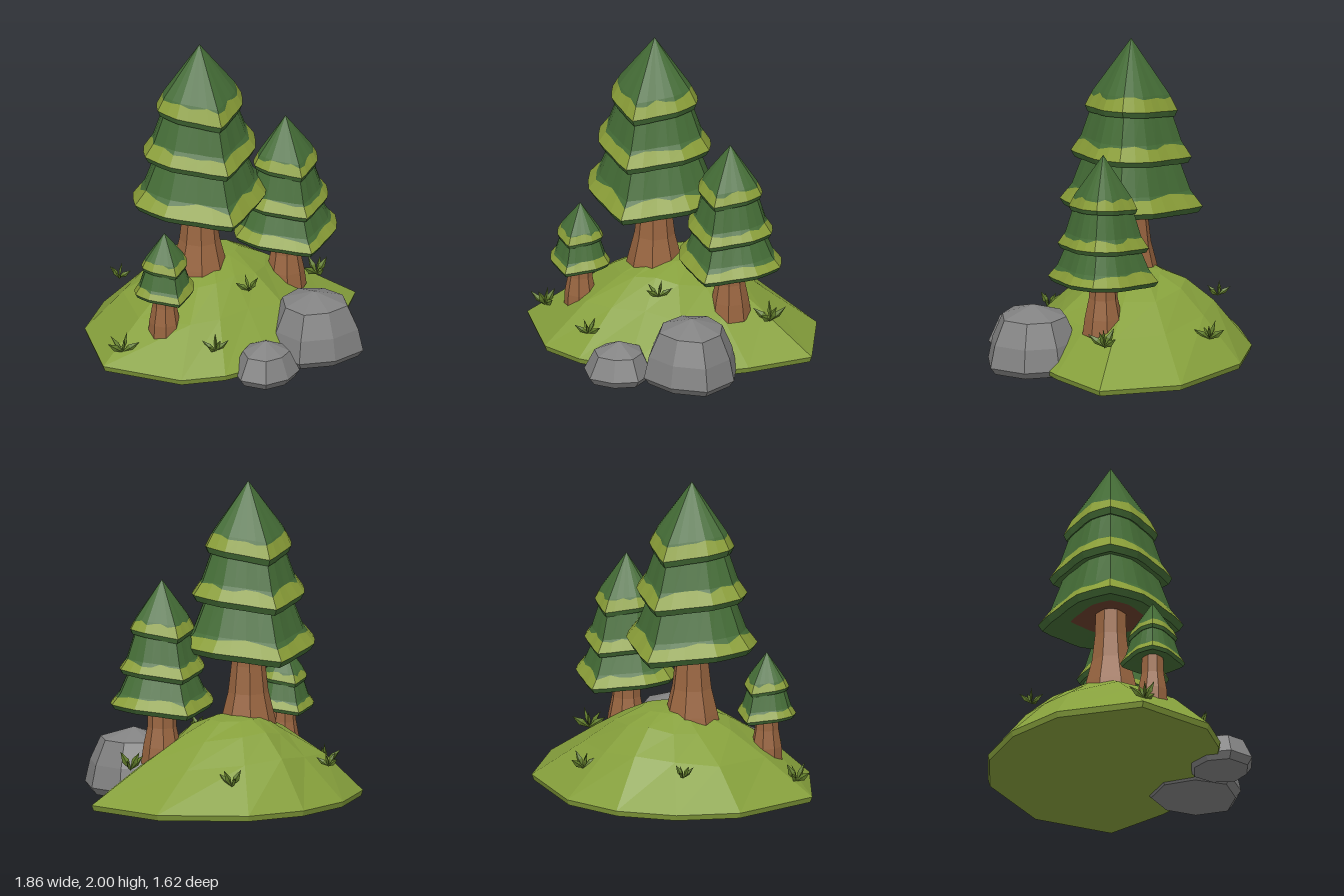
import * as THREE from 'three';

const mat = (name, color) => {
  const m = new THREE.MeshStandardMaterial({ color });
  m.name = name;
  return m;
};

// small seeded random
function seeded(seed) {
  let s = seed;
  return () => ((s = (s * 16807) % 2147483647) / 2147483647);
}

// flat-faced skin over rings listed bottom to top, each running from +z towards +x
function loft(rings) {
  const pos = [];
  const tri = (a, b, c) => {
    if (a.distanceTo(b) < 1e-5 || b.distanceTo(c) < 1e-5 || a.distanceTo(c) < 1e-5) return;
    for (const p of [a, b, c]) pos.push(p.x, p.y, p.z);
  };
  for (let i = 0; i + 1 < rings.length; i++) {
    const lo = rings[i], up = rings[i + 1], n = lo.length;
    for (let j = 0; j < n; j++) {
      const k = (j + 1) % n;
      tri(lo[j], lo[k], up[k]);
      tri(lo[j], up[k], up[j]);
    }
  }
  const g = new THREE.BufferGeometry();
  g.setAttribute('position', new THREE.Float32BufferAttribute(pos, 3));
  g.computeVertexNormals();
  return g;
}

const ring = (n, fn) => Array.from({ length: n }, (_, j) => fn(j, (j / n) * Math.PI * 2));
const polar = (a, r, y) => new THREE.Vector3(Math.sin(a) * r, y, Math.cos(a) * r);

export function createModel() {
  const model = new THREE.Group();
  const grass = mat('grass', 0x86a03c);
  const needles = mat('needles', 0x446c36);
  const tips = mat('needle tips', 0x8a9e38);
  const bark = mat('bark', 0x996540);
  const darkBark = mat('shaded bark', 0x6b3f2c);
  const stone = mat('stone', 0x828282);
  const blades = mat('grass blades', 0x637f2c);

  const add = (parent, name, geometry, material) => {
    const m = new THREE.Mesh(geometry, material);
    m.name = name;
    parent.add(m);
    return m;
  };

  // ---- hill: outline scaled towards the summit
  const outline = [
    [0, 0.6], [0.35, 0.53], [0.66, 0.26], [0.93, -0.06], [0.72, -0.53], [0.23, -0.81],
    [-0.15, -0.81], [-0.5, -0.66], [-0.78, -0.38], [-0.93, 0.15], [-0.6, 0.55], [-0.33, 0.62],
  ];
  const cx = -0.05, cz = -0.12;
  const rnd = seeded(11);
  const hillRing = (f, y, sideDrop, jitter) => outline.map(([x, z]) => {
    const dx = x - cx, dz = z - cz;
    const side = Math.abs(dx) / Math.hypot(dx, dz);
    const ff = f + (rnd() - 0.5) * jitter;
    return new THREE.Vector3(cx + dx * ff, y - sideDrop * side + (rnd() - 0.5) * jitter * 0.4, cz + dz * ff);
  });
  add(model, 'hill', loft([
    hillRing(0, 0.025, 0, 0), hillRing(0.985, 0.03, 0, 0), hillRing(1, 0.065, 0, 0),
    hillRing(0.66, 0.35, 0.06, 0.07), hillRing(0.4, 0.5, 0.06, 0.05),
    hillRing(0.2, 0.55, 0.01, 0.03), hillRing(0, 0.555, 0, 0),
  ]), grass);

  // ---- trees
  const N = 24;
  const reach = [1, 0.84, 0.91, 1, 0.91, 0.84];      // corner radius, repeats every half turn
  const droop = [0.06, 0.035, 0.015, 0, 0.015, 0.035]; // front and back corners hang lower
  const sample = (list, j) => {
    const k = Math.floor(j / 2);
    return j % 2 ? (list[k % 6] + list[(k + 1) % 6]) * 0.49 : list[k % 6];
  };

  function tier(tree, s, R, y, topR, topY, rand, browned) {
    const g = new THREE.Group();
    g.name = 'branchTier';
    tree.add(g);
    const level = (rf, dy, hang) => ring(N, (j, a) =>
      polar(a, R * rf * sample(reach, j), y + dy * s - sample(droop, j) * s * hang));
    const rim = level(1, 0, 1);
    const lower = level(0.94, -0.04, 1);
    const shoulder = level(0.83, 0.085, 0.75);
    const under = level(0.55, -0.005, 0.5);
    const core = ring(N, () => new THREE.Vector3(0, y + 0.02 * s, 0));
    const bandTop = rim.map((p, j) => p.clone().lerp(shoulder[j], Math.min(1, 0.62 + rand() * 0.45)));
    const top = ring(N, (j, a) => polar(a, topR * sample(reach, j), topY));
    const cap = ring(N, () => new THREE.Vector3(0, topY, 0));
    add(g, 'needleTop', loft([bandTop, shoulder, top, cap]), needles);
    add(g, 'tipBand', loft([rim, bandTop]), tips);
    add(g, 'needleUnderside', loft([under, lower, rim]), needles);
    add(g, 'innerUnderside', loft([core, under]), browned ? darkBark : needles);
  }

  // tiers: [radius, rim height] from low to high; trunk: [radius, height] from low to high
  function tree(name, x, z, s, apex, tiers, trunk, seed, browned) {
    const g = new THREE.Group();
    g.name = name;
    g.position.set(x, 0, z);
    model.add(g);
    const rand = seeded(seed);
    add(g, 'trunk', loft(trunk.map(([r, y]) => ring(8, (j, a) => polar(a + Math.PI / 8, r, y)))), bark);
    tiers.forEach(([R, y], i) => {
      const next = tiers[i + 1];
      tier(g, s, R, y, next ? R * 0.58 : 0, next ? next[1] + 0.03 * s : apex, rand, browned && i === 0);
    });
  }
  tree('tallTree', -0.155, -0.055, 1, 2, [[0.447, 1.0], [0.378, 1.315], [0.29, 1.61]],
    [[0.19, 0.4], [0.165, 0.52], [0.125, 0.68], [0.105, 0.85], [0.1, 1.01]], 5, true);
  tree('middleTree', 0.405, 0.015, 0.75, 1.42, [[0.345, 0.665], [0.285, 0.88], [0.215, 1.125]],
    [[0.13, 0.27], [0.115, 0.38], [0.09, 0.5], [0.083, 0.68]], 23, false);
  tree('smallTree', -0.535, 0.205, 0.55, 0.91, [[0.2, 0.535], [0.153, 0.705]],
    [[0.1, 0.2], [0.095, 0.31], [0.075, 0.42], [0.07, 0.54]], 41, false);

  // ---- rocks: [radius, height] profile with slightly uneven corners
  function rock(name, x, z, turn, profile, seed) {
    const rand = seeded(seed);
    const wob = Array.from({ length: 8 }, () => 0.95 + rand() * 0.13);
    const m = add(model, name, loft(profile.map(([r, y]) =>
      ring(8, (j, a) => polar(a + turn, r * wob[j], y)))), stone);
    m.position.set(x, 0, z);
  }
  rock('bigRock', 0.37, 0.46, 0, [[0, 0.015], [0.26, 0.015], [0.295, 0.06], [0.265, 0.2], [0.2, 0.35], [0, 0.42]], 7);
  rock('smallRock', -0.05, 0.62, 0.3, [[0, 0], [0.175, 0], [0.205, 0.045], [0.145, 0.175], [0, 0.245]], 19);

  // ---- grass tufts: fans of slim folded blades
  const blade = new THREE.OctahedronGeometry(1);
  blade.scale(0.018, 0.055, 0.01);
  blade.translate(0, 0.05, 0);
  const tufts = [
    [-0.8, 0.14, 0.16, 1.2], [-0.33, 0.18, 0.49, 1], [0.03, 0.41, 0.25, 1],
    [0.65, 0.26, -0.04, 1.25], [0.25, 0.22, -0.62, 1.15], [-0.46, 0.27, -0.54, 0.9],
  ];
  tufts.forEach(([x, y, z, size], i) => {
    const g = new THREE.Group();
    g.name = 'grassTuft';
    g.position.set(x, y, z);
    g.rotation.y = i * 0.5;
    g.scale.setScalar(size);
    model.add(g);
    for (let k = 0; k < 5; k++) {
      const b = add(g, 'blade', blade, blades);
      b.rotation.set(0, k * 1.26, k % 2 ? 0.5 : 0.95, 'YXZ');
    }
  });

  return model;
}
